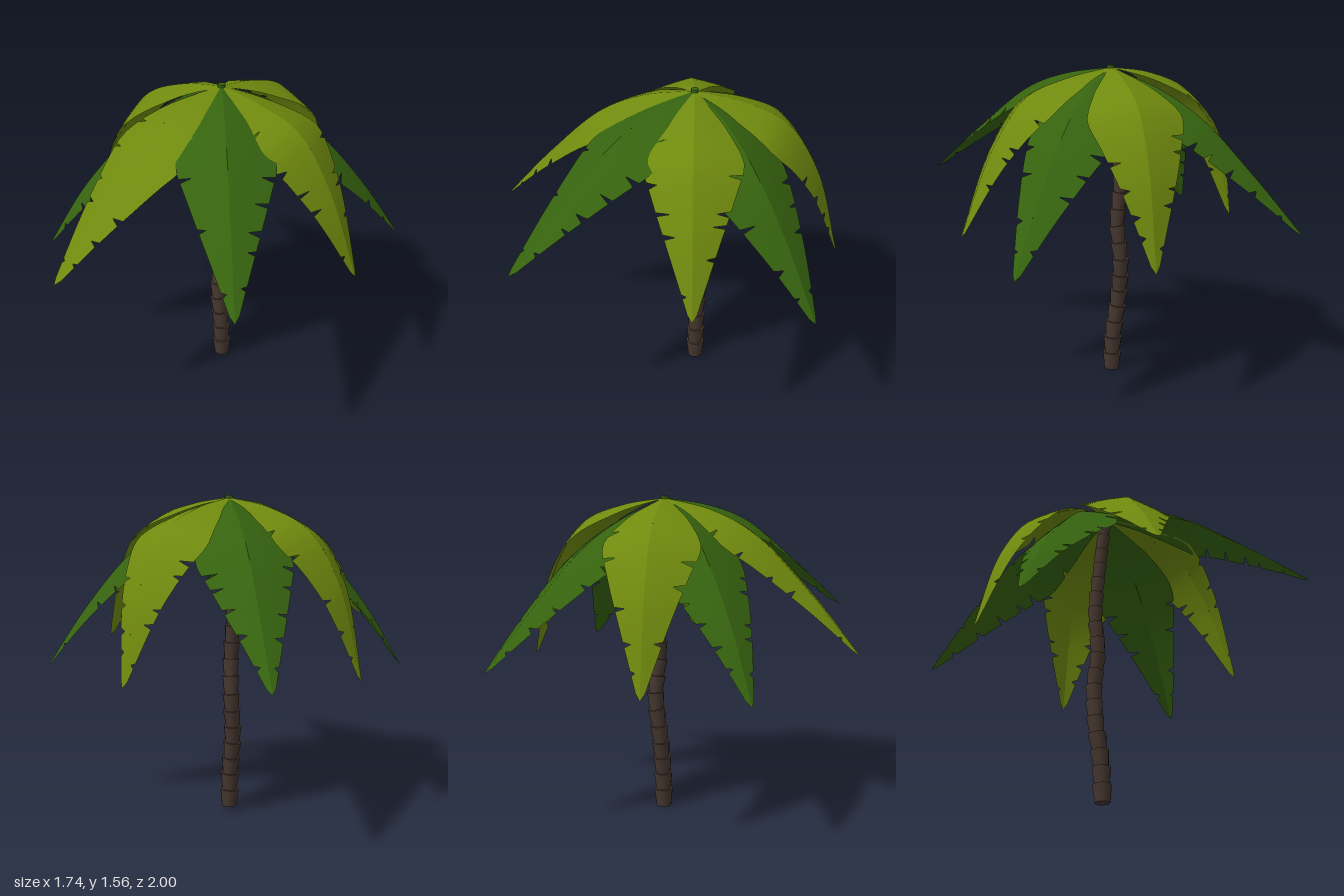
import * as THREE from 'three';
import { mergeGeometries } from 'three/addons/utils/BufferGeometryUtils.js';

const ROOT = new THREE.Vector3(-0.015, 1.55, -0.045);

// Half-width of a frond along its length (t, width)
const OUTLINE = [[0, 0.012], [0.1, 0.075], [0.2, 0.145], [0.3, 0.2], [0.37, 0.225], [0.43, 0.22],
  [0.6, 0.16], [0.8, 0.085], [0.97, 0.022], [0.99, 0.016], [1, 0.001]];

function halfWidth(t) {
  let i = 1;
  while (i < OUTLINE.length - 1 && OUTLINE[i][0] < t) i++;
  const [t0, w0] = OUTLINE[i - 1], [t1, w1] = OUTLINE[i];
  return THREE.MathUtils.lerp(w0, w1, (t - t0) / (t1 - t0));
}

function seeded(seed) {
  let s = seed;
  return () => (s = (s * 16807) % 2147483647) / 2147483647;
}

// One side of a frond: a strip from the midrib to a notched edge
function frondHalf(curve, side, fold, rand) {
  const stations = [];
  for (let i = 0; i <= 36; i++) stations.push({ t: i / 36, cut: 0 });
  for (const base of [0.27, 0.45, 0.56, 0.66, 0.76, 0.87]) {
    if (rand() < 0.15) continue;
    const t = base + (rand() - 0.5) * 0.06;
    const gap = 0.014 + rand() * 0.014;
    const cut = Math.min(0.035 + rand() * 0.03, halfWidth(t) * 0.4);
    // clear the plain stations inside the notch, then add its three corners
    for (let i = stations.length - 1; i >= 0; i--) {
      if (stations[i].t >= t - 0.003 && stations[i].t <= t + gap + 0.003) stations.splice(i, 1);
    }
    stations.push({ t, cut: 0 }, { t: t + gap * 0.4, cut }, { t: t + gap, cut: 0 });
  }
  stations.sort((a, b) => a.t - b.t);

  const positions = [], index = [];
  const columns = [0, 0.3, 0.6, 1];
  const n = columns.length;
  stations.forEach(({ t, cut }, row) => {
    const p = curve.getPointAt(t);
    const tangent = curve.getTangentAt(t);
    const across = new THREE.Vector3(0, 1, 0).cross(tangent).normalize();
    const normal = tangent.clone().cross(across).normalize();
    const w = halfWidth(t);
    columns.forEach((c, k) => {
      const d = c === 1 ? w - cut : w * c;
      const drop = fold * d * (0.85 + 0.25 * d / 0.22);
      const v = p.clone().addScaledVector(across, side * d).addScaledVector(normal, -drop);
      positions.push(v.x, v.y, v.z);
      if (row === 0 || k === 0) return;
      const a = (row - 1) * n + k - 1, b = a + 1, e = a + n, f = e + 1;
      if (side > 0) index.push(a, e, b, b, e, f);
      else index.push(a, b, e, b, f, e);
    });
  });
  const g = new THREE.BufferGeometry();
  g.setAttribute('position', new THREE.Float32BufferAttribute(positions, 3));
  g.setIndex(index);
  g.computeVertexNormals();
  return g;
}

// tip: [x, y, z]; profile: [distance from crown, height] along the midrib
function frond(tip, profile, fold, seed) {
  const end = new THREE.Vector3(...tip);
  const dir = new THREE.Vector3(end.x - ROOT.x, 0, end.z - ROOT.z).normalize();
  const points = [ROOT.clone()];
  for (const [h, y] of profile) {
    points.push(new THREE.Vector3(ROOT.x + dir.x * h, y, ROOT.z + dir.z * h));
  }
  points.push(end);
  const curve = new THREE.CatmullRomCurve3(points);
  const rand = seeded(seed);
  return mergeGeometries([frondHalf(curve, 1, fold, rand), frondHalf(curve, -1, fold, rand)]);
}

export function createModel() {
  const model = new THREE.Group();
  model.name = 'palmTree';

  const bark = new THREE.MeshStandardMaterial({ color: 0x46372f });
  bark.name = 'bark';
  const darkLeaf = new THREE.MeshStandardMaterial({ color: 0x36630f, side: THREE.DoubleSide });
  darkLeaf.name = 'darkGreen';
  const lightLeaf = new THREE.MeshStandardMaterial({ color: 0x708a0e, side: THREE.DoubleSide });
  lightLeaf.name = 'yellowGreen';

  const add = (name, geometry, material, parent = model) => {
    const mesh = new THREE.Mesh(geometry, material);
    mesh.name = name;
    parent.add(mesh);
    return mesh;
  };

  // Trunk: flared rings stacked along a gently swaying path
  const trunk = new THREE.Group();
  trunk.name = 'trunk';
  model.add(trunk);
  const path = new THREE.CatmullRomCurve3([
    [-0.017, 0, -0.052], [-0.02, 0.2, -0.06], [-0.03, 0.38, -0.082], [-0.018, 0.58, -0.1],
    [-0.02, 0.78, -0.078], [-0.03, 0.98, -0.092], [-0.02, 1.25, -0.075], [-0.015, 1.53, -0.045],
  ].map((p) => new THREE.Vector3(...p)));
  const rings = 18;
  for (let i = 0; i < rings; i++) {
    const a = path.getPointAt(i / rings), b = path.getPointAt((i + 1) / rings);
    const size = 1 - 0.3 * i / rings;
    const ring = add('trunkRing', new THREE.CylinderGeometry(0.047 * size, 0.037 * size, a.distanceTo(b) + 0.004, 14), bark, trunk);
    ring.position.copy(a).lerp(b, 0.5);
    ring.quaternion.setFromUnitVectors(new THREE.Vector3(0, 1, 0), b.clone().sub(a).normalize());
  }

  // Crown bud where the fronds meet
  add('crownBud', new THREE.CylinderGeometry(0.018, 0.018, 0.04, 12), darkLeaf).position.set(ROOT.x, 1.54, ROOT.z);

  // Dark fronds along the axes
  const dark = [
    ['frontFrond', [-0.08, 0.955, 1], [[0.25, 1.505], [0.46, 1.425], [0.76, 1.2]]],
    ['backFrond', [-0.06, 0.81, -1], [[0.25, 1.455], [0.455, 1.33], [0.71, 1.08]]],
    ['leftFrond', [0.87, 0.735, 0.02], [[0.25, 1.46], [0.48, 1.28], [0.69, 1.03]]],
    ['rightFrond', [-0.87, 0.72, -0.11], [[0.25, 1.46], [0.46, 1.28], [0.67, 1.03]]],
  ];
  dark.forEach(([name, tip, profile], i) => add(name, frond(tip, profile, 0.34, 1201 + i * 7919), darkLeaf));

  // Light fronds on the diagonals
  const light = [
    ['frontLeftFrond', [0.55, 0.79, 0.475], [[0.22, 1.51], [0.43, 1.43], [0.6, 1.2]]],
    ['backLeftFrond', [0.53, 0.735, -0.5], [[0.22, 1.51], [0.43, 1.42], [0.59, 1.18]]],
    ['backRightFrond', [-0.57, 0.73, -0.49], [[0.22, 1.51], [0.43, 1.41], [0.59, 1.17]]],
    ['frontRightFrond', [-0.83, 0.87, 0.505], [[0.25, 1.5], [0.46, 1.4], [0.73, 1.15]]],
  ];
  light.forEach(([name, tip, profile], i) => add(name, frond(tip, profile, 0.28, 5077 + i * 6151), lightLeaf));

  return model;
}
